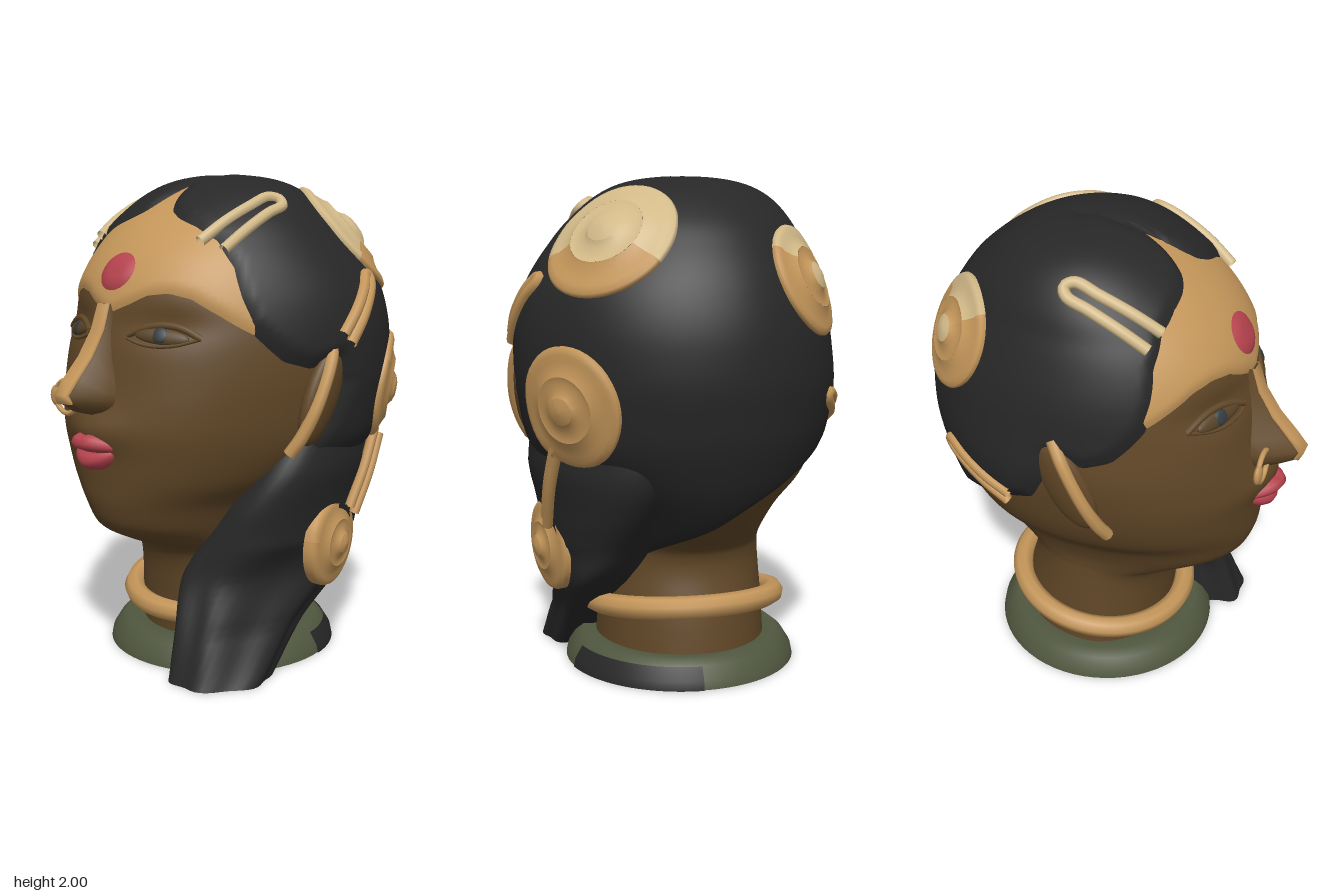
import * as THREE from 'three';

const mat = (name, color) => {
  const m = new THREE.MeshStandardMaterial({ color, side: THREE.DoubleSide });
  m.name = name;
  return m;
};
const V = (x, y, z) => new THREE.Vector3(x, y, z);
const { clamp, smoothstep } = THREE.MathUtils;

// Piecewise linear lookup in a table of [x, value]
function interp(tab, x) {
  for (let i = 1; i < tab.length; i++) {
    const [a, fa] = tab[i - 1], [b, fb] = tab[i];
    if (x <= b) return fa + (fb - fa) * clamp((x - a) / (b - a), 0, 1);
  }
  return tab[tab.length - 1][1];
}

// Head and neck levels: height, half width, front z, back z
const LEVELS = [
  [0.06, 0.36, 0.23, -0.46], [0.25, 0.35, 0.24, -0.43], [0.4, 0.34, 0.26, -0.39], [0.48, 0.335, 0.31, -0.39],
  [0.53, 0.335, 0.43, -0.42], [0.6, 0.35, 0.555, -0.5], [0.7, 0.4, 0.605, -0.585], [0.8, 0.488, 0.62, -0.65],
  [0.9, 0.54, 0.63, -0.695], [1.0, 0.57, 0.64, -0.73], [1.1, 0.59, 0.63, -0.75], [1.2, 0.605, 0.61, -0.765],
  [1.3, 0.61, 0.59, -0.765], [1.4, 0.605, 0.57, -0.755], [1.5, 0.585, 0.545, -0.73], [1.6, 0.55, 0.505, -0.69],
  [1.7, 0.505, 0.435, -0.63], [1.8, 0.445, 0.33, -0.55], [1.9, 0.34, 0.185, -0.42], [1.955, 0.21, 0.05, -0.29],
  [1.98, 0, -0.1, -0.1]];
const curveA = new THREE.CatmullRomCurve3(LEVELS.map(l => V(l[1], l[0], l[2])), false, 'catmullrom', 0.5);
const curveB = new THREE.CatmullRomCurve3(LEVELS.map(l => V(l[3], l[0], 0)), false, 'catmullrom', 0.5);
const CX = -0.04;

function head(u, t) {
  const a = curveA.getPoint(u), zb = curveB.getPoint(u).x, y = a.y;
  const zm = -0.05 - 0.05 * smoothstep(y, 1.6, 1.98);
  const s = Math.sin(t), c = Math.cos(t);
  const x = CX + Math.max(a.x, 0) * s;
  let z = zm + (c > 0 ? a.z - zm : zm - zb) * c;
  // hair bulges on the model's left and is drawn in on its right
  const bulge = t > 0
    ? 0.09 * s * smoothstep(t, 0.9, 2) * smoothstep(y, 0.75, 1) * (1 - smoothstep(y, 1.5, 1.9))
    : 0.035 * s * s * smoothstep(y, 1.1, 1.4) * (1 - smoothstep(y, 1.7, 1.95));
  if (c > 0) { // mouth mound and eye sockets
    const d = Math.abs(x - CX);
    z += 0.04 * Math.exp(-((d / 0.15) ** 2) - ((y - 1.02) / 0.08) ** 2);
    z -= 0.03 * Math.exp(-(((d - 0.25) / 0.16) ** 2) - ((y - 1.42) / 0.07) ** 2);
  }
  return V(x + bulge, y, z);
}
function normal(u, t) {
  const e = 0.002, k = clamp(u, e, 1 - e);
  const up = head(k + e, t).sub(head(k - e, t)), side = head(k, t + e).sub(head(k, t - e));
  return side.cross(up).normalize();
}

const NU = 110, NT = 144, GRID = [];
for (let i = 0; i <= NU; i++) for (let j = 0; j < NT; j++) {
  const u = i / NU, t = -Math.PI + (2 * Math.PI * j) / NT;
  GRID.push({ t, p: head(u, t), n: normal(u, t) });
}
// Nearest head point; without z, the nearest on the face
function snap(x, y, z, lift = 0) {
  let best, bd = 1e9;
  for (const g of GRID) {
    if (z === undefined && Math.abs(g.t) > 1.4) continue;
    const d = (g.p.x - x) ** 2 + (g.p.y - y) ** 2 + (z === undefined ? 0 : (g.p.z - z) ** 2);
    if (d < bd) { bd = d; best = g; }
  }
  // slide from the grid point along its tangent plane
  const v = V(x - best.p.x, y - best.p.y, z === undefined ? 0 : z - best.p.z);
  if (z === undefined && best.n.z > 0.2) v.z = -(v.x * best.n.x + v.y * best.n.y) / best.n.z;
  v.addScaledVector(best.n, -v.dot(best.n)).clampLength(0, 0.03);
  return { p: best.p.clone().add(v).addScaledVector(best.n, lift), n: best.n };
}

// Unwrapped outline of the bare skin: [angle, height]
const SIDE = [[0.1, 1.87], [0.18, 1.83], [0.32, 1.8], [0.52, 1.77], [0.73, 1.72], [0.87, 1.63], [0.92, 1.52],
  [0.99, 1.42], [1.09, 1.36], [1.2, 1.3], [1.36, 1.27], [1.55, 1.3], [1.6, 1.2]];
const SKIN = [[0, 1.93], ...SIDE, [1.5, 1.04], [1.33, 0.9], [1.15, 0.7], [1.1, 0.45], [1.9, 0.4], [2.5, 0.52],
  [3.142, 0.64], [3.8, 0.67], [3.8, -0.4], [-3.8, -0.4], [-3.8, 0.67], [-3.142, 0.64], [-2.6, 0.8], [-2.2, 0.92],
  [-1.7, 1.07], ...SIDE.map(([t, y]) => [-t, y]).reverse()].map(([t, y]) => [t * 0.6, y]);
function outside(px, py) { // signed distance, positive outside the outline
  let d = 1e9, inside = false;
  SKIN.forEach(([ax, ay], i) => {
    const [bx, by] = SKIN[(i + 1) % SKIN.length];
    const ex = bx - ax, ey = by - ay;
    const k = clamp(((px - ax) * ex + (py - ay) * ey) / (ex * ex + ey * ey), 0, 1);
    d = Math.min(d, Math.hypot(px - ax - ex * k, py - ay - ey * k));
    if ((ay > py) !== (by > py) && px < ax + (ex * (py - ay)) / ey) inside = !inside;
  });
  return inside ? -d : d;
}
const BROW = [[0, 1.46], [0.1, 1.5], [0.17, 1.535], [0.25, 1.545], [0.33, 1.525], [0.42, 1.465], [0.53, 1.38], [0.6, 1.44]];

function makeGeo(pos, idx) {
  const g = new THREE.BufferGeometry();
  g.setAttribute('position', new THREE.Float32BufferAttribute(pos, 3));
  g.setIndex(idx);
  g.computeVertexNormals();
  return g;
}
// Covering over the head where the signed distance is positive; it dives under elsewhere
function layer(base, max, sd) {
  const pos = [], val = [], idx = [];
  for (const g of GRID) {
    const s = sd(g);
    val.push(s);
    pos.push(...g.p.clone().addScaledVector(g.n, base + clamp(0.5 * s, -0.03, max)).toArray());
  }
  const tri = (...f) => { if (f.some(k => val[k] > -0.05)) idx.push(...f); };
  for (let i = 0; i < NU; i++) for (let j = 0; j < NT; j++) {
    const a = i * NT + j, b = i * NT + ((j + 1) % NT);
    tri(a, b, b + NT);
    tri(a, b + NT, a + NT);
  }
  return makeGeo(pos, idx);
}
// Surface through rows of points
function loft(rows, closed) {
  const n = rows[0].length, idx = [];
  for (let i = 0; i < rows.length - 1; i++) for (let j = 0; j < (closed ? n : n - 1); j++) {
    const a = i * n + j, b = i * n + ((j + 1) % n);
    idx.push(a, b, b + n, a, b + n, a + n);
  }
  return makeGeo(rows.flat(2), idx);
}
const tube = (pts, r, seg = 32, closed = false) =>
  new THREE.TubeGeometry(new THREE.CatmullRomCurve3(pts, closed), seg, r, 8, closed);

export function createModel() {
  const root = new THREE.Group();
  const skin = mat('brownSkin', 0x614727), gold = mat('gold', 0xc4965a), pale = mat('paleGold', 0xd2b988),
    black = mat('blackHair', 0x272728), red = mat('red', 0xb5434e), cloth = mat('greenCloth', 0x50573f),
    lid = mat('eyeBrown', 0x574227), iris = mat('irisGrey', 0x343a3e);
  const add = (name, geo, m, parent = root) => {
    const mesh = new THREE.Mesh(geo, m);
    mesh.name = name;
    parent.add(mesh);
    return mesh;
  };

  // Head layers
  add('headAndNeck', layer(0, 0, () => 0), skin);
  add('forehead', layer(0, 0.012, ({ t, p }) =>
    Math.abs(t) > 1.25 || p.y > 1.95 ? -1 : 0.8 * (p.y - interp(BROW, Math.abs(p.x - CX)))), gold);
  add('foreheadDot', layer(0.012, 0.012, ({ t, p }) =>
    Math.abs(t) > 1 ? -1 : 0.075 * (1 - Math.hypot((p.x + 0.04) / 0.087, (p.y - 1.615) / 0.07))), red);
  add('hair', layer(0.006, 0.022, ({ t, p }) => {
    const s = outside(t * 0.6, p.y);
    const part = p.z > -0.2 && p.y > 1.8 ? 0.025 * Math.exp(-(((p.x - CX) / 0.035) ** 2)) : 0;
    return s > 0.03 ? Math.min(s, 0.044) - part : s;
  }), black);

  // Gathered hair falling over the left shoulder: height, front xz, back xz, half thickness
  const TAIL = [[0, 0.21, 0.47, 0.44, 0.14, 0.145], [0.2, 0.21, 0.42, 0.42, -0.07, 0.135], [0.4, 0.19, 0.35, 0.41, -0.36, 0.18],
    [0.55, 0.3, 0.3, 0.33, -0.46, 0.235], [0.7, 0.41, 0.25, 0.27, -0.56, 0.22], [0.85, 0.49, 0.17, 0.22, -0.62, 0.215],
    [1.05, 0.52, 0.04, 0.18, -0.6, 0.18], [1.2, 0.48, 0, 0.22, -0.5, 0.11], [1.32, 0.42, -0.03, 0.25, -0.4, 0.05]];
  const cf = new THREE.CatmullRomCurve3(TAIL.map(r => V(r[1], r[0], r[2])), false, 'catmullrom', 0.5);
  const cb = new THREE.CatmullRomCurve3(TAIL.map(r => V(r[3], r[0], r[4])), false, 'catmullrom', 0.5);
  const tail = [];
  for (let i = 0; i <= 48; i++) {
    const f = cf.getPoint(i / 48), b = cb.getPoint(i / 48), y = Math.max(f.y, 0);
    const c = f.clone().add(b).multiplyScalar(0.5), h = f.sub(b).multiplyScalar(0.5);
    const n = V(h.z, 0, -h.x).normalize(), th = interp(TAIL.map(r => [r[0], r[5]]), y);
    tail.push(Array.from({ length: 48 }, (_, k) => {
      const a = (k / 48) * Math.PI * 2, w = 1 + 0.06 * (1 - smoothstep(y, 0.2, 0.7)) * Math.cos(6 * a + 3 * y);
      return c.clone().addScaledVector(h, Math.cos(a) * w).addScaledVector(n, Math.sin(a) * th * w).setY(y).toArray();
    }));
  }
  add('hairTail', loft(tail, true), black);

  // Nose: height, ridge z, ridge half width, base half width
  const NOSE = [[1.5, 0.56, 0.03, 0.045], [1.4, 0.595, 0.032, 0.055], [1.3, 0.66, 0.034, 0.08], [1.22, 0.735, 0.035, 0.11],
    [1.165, 0.782, 0.034, 0.128], [1.13, 0.765, 0.036, 0.13], [1.09, 0.7, 0.036, 0.12], [1.06, 0.6, 0.03, 0.08]];
  const nx = -0.055;
  add('nose', loft(NOSE.map(([y, z, h, b]) => [[-b, 0.5], [-b * 0.9, 0.5 + (z - 0.5) * 0.5], [-h * 1.15, 0.5 + (z - 0.5) * 0.92],
    [-h * 0.8, z], [h * 0.8, z], [h * 1.15, 0.5 + (z - 0.5) * 0.92], [b * 0.9, 0.5 + (z - 0.5) * 0.5], [b, 0.5]]
    .map(([x, q]) => [nx + x, y, q]))), skin);
  add('noseStripe', loft(NOSE.slice(0, 6).map(([y, z, h]) => [[-h, z - 0.012], [-h, z + 0.008], [h, z + 0.008], [h, z - 0.012]]
    .map(([x, q]) => [nx + x, y, q]))), gold);
  const ring = add('noseRing', new THREE.TorusGeometry(0.065, 0.011, 8, 32, 5.4), gold);
  ring.position.set(-0.18, 1.13, 0.655);
  ring.rotation.z = 0.6;
  const bead = add('noseRingBead', new THREE.SphereGeometry(0.036, 16, 12), gold);
  bead.position.set(-0.24, 1.13, 0.655);
  bead.scale.set(1, 1.2, 0.45);

  // Lips: centre height, half height, depth, middle dip
  [['upperLip', 0.972, 0.046, 0.105, 0.012], ['lowerLip', 0.896, 0.046, 0.075, 0]].forEach(([name, cy, ry, rz, dip]) => {
    const rows = [];
    for (let i = 0; i <= 24; i++) {
      const t = i / 12 - 1, k = Math.max(0.02, (1 - t * t) ** 0.65), x = CX - 0.005 + t * 0.135;
      rows.push(Array.from({ length: 12 }, (_, j) => {
        const a = (j / 12) * Math.PI * 2;
        const y = cy + (0.945 - cy) * t * t - dip * Math.exp(-((t / 0.15) ** 2)) * Math.max(0, Math.sin(a));
        return [x, y + ry * k * Math.sin(a), 0.595 + 0.02 * k - 0.025 * t * t + rz * k * Math.cos(a)];
      }));
    }
    add(name, loft(rows, true), red);
  });

  for (const s of [-1, 1]) {
    const side = s > 0 ? 'left' : 'right';
    // Eyes with lids
    const ex = CX + s * 0.24, eye = snap(ex, 1.385);
    const orient = (m, e, lift) => {
      m.position.copy(e.p).addScaledVector(e.n, lift);
      m.quaternion.setFromUnitVectors(V(0, 0, 1), e.n);
    };
    const white = add(side + 'Eye', new THREE.SphereGeometry(1, 24, 12), lid);
    orient(white, eye, 0);
    white.scale.set(0.115, 0.034, 0.018);
    const pupil = add(side + 'Iris', new THREE.SphereGeometry(1, 16, 10), iris);
    orient(pupil, eye, 0.012);
    pupil.scale.set(0.033, 0.031, 0.01);
    const lidCurve = (lift, r) => tube([-0.13, -0.07, 0, 0.07, 0.14].map(d =>
      snap(ex + s * d, 1.378 + lift * (1 - (d / 0.14) ** 2), undefined, 0.002).p), r, 24);
    add(side + 'UpperLid', lidCurve(0.046, 0.014), skin);
    add(side + 'LowerLid', lidCurve(-0.032, 0.007), skin);
    // Ears with gold rims
    const ear = add(side + 'Ear', new THREE.SphereGeometry(1, 24, 16), skin);
    ear.position.set(-0.01 + s * 0.6, 1.15, 0.015);
    ear.scale.set(0.05, 0.21, 0.105);
    ear.rotation.set(-0.38, s * 0.15, s * -0.08);
    add(side + 'EarRim', tube([[0.615, 1.36, -0.03], [0.645, 1.28, 0.02], [0.642, 1.12, 0.095], [0.605, 1.0, 0.14], [0.565, 0.93, 0.165]]
      .map(([x, y, z]) => V(-0.01 + s * x, y, z)), 0.026), gold);
  }

  // Domed medallions laid over a surface at(across, along); rim arcs are [material, start angle, length]
  const TAU = Math.PI * 2;
  const RIM = [[1, 0], [1, 0.034], [0.96, 0.044], [0.86, 0.048], [0.76, 0.042], [0.6, 0.048], [0.52, 0.056]];
  const RING = [[0.52, 0.056], [0.44, 0.05], [0.3, 0.054], [0.22, 0.068]];
  const CAP = [[0.22, 0.068], [0.12, 0.075], [0, 0.077]];
  const disc = (name, at, R, ringMat, capMat, arcs) => {
    const g = new THREE.Group();
    g.name = name;
    const part = (label, profile, [m, start, len]) => add(label, loft(profile.map(([r, h]) => Array.from({ length: 41 }, (_, k) => {
      const a = start + (len * k) / 40, q = at(r * R * Math.sin(a), r * R * Math.cos(a));
      return q.p.clone().addScaledVector(q.n, h).toArray();
    }))), m, g);
    arcs.forEach(arc => part('medallionRim', RIM, arc));
    part('medallionRing', RING, [ringMat, 0, TAU]);
    part('medallionCap', CAP, [capMat, 0, TAU]);
    root.add(g);
  };
  const tangents = n => {
    const q = new THREE.Quaternion().setFromUnitVectors(V(0, 1, 0), n);
    return [V(1, 0, 0).applyQuaternion(q), V(0, 0, 1).applyQuaternion(q)];
  };
  const onHead = (x, y, z) => {
    const { p, n } = snap(x, y, z), [tx, tz] = tangents(n);
    return (a, b) => {
      const v = p.clone().addScaledVector(tx, a).addScaledVector(tz, b);
      return snap(v.x, v.y, v.z);
    };
  };
  const onTail = (p, n) => {
    const [tx, tz] = tangents(n);
    return (a, b) => ({ n, p: p.clone().addScaledVector(tx, a).addScaledVector(tz, b).addScaledVector(n, -0.02 - (a * a + b * b) / 1.3) });
  };
  const full = [[gold, 0, TAU]];
  disc('crownMedallion', onHead(0.335, 1.745, -0.42), 0.275, pale, pale, [[gold, 1.1, 2.4], [pale, 3.5, TAU - 2.4]]);
  disc('rightMedallion', onHead(-0.38, 1.58, -0.52), 0.225, gold, pale, [[gold, 1.7, 4.6], [pale, 6.3, TAU - 4.6]]);
  disc('leftMedallion', onHead(0.55, 1.115, -0.51), 0.235, gold, gold, full);
  disc('tailMedallion', onTail(V(0.545, 0.52, -0.14), V(0.95, -0.05, -0.2).normalize()), 0.187, gold, gold, full);
  for (const o of [-0.016, 0.016])
    add('medallionChain', tube([V(0.555, 0.95 + o, -0.4 + o), V(0.566, 0.8 + o, -0.32 + o), V(0.562, 0.64 + o, -0.23 + o)], 0.021), gold);

  // U-shaped hairpins: two ends and the bend
  const pin = (name, m, a, bend, b, r) => {
    const [A, B, C] = [a, b, bend].map(p => V(...p)), half = A.clone().sub(B).multiplyScalar(0.5);
    const leg = (end, k) => [0, 0.35, 0.7, 0.94].map(f => end.clone().lerp(C.clone().addScaledVector(half, k), f));
    const pts = [...leg(A, 0.6), C, ...leg(B, -0.6).reverse()];
    add(name, tube(pts.map(p => snap(p.x, p.y, p.z, 0.028).p), r, 64), m);
  };
  pin('rightFrontPin', pale, [-0.45, 1.72, 0.28], [-0.395, 1.86, -0.06], [-0.37, 1.75, 0.295], 0.023);
  pin('leftFrontPin', pale, [0.265, 1.75, 0.36], [0.33, 1.88, -0.01], [0.355, 1.72, 0.32], 0.023);
  pin('leftEarPin', gold, [0.61, 1.38, -0.04], [0.58, 1.6, -0.27], [0.61, 1.345, -0.075], 0.025);
  pin('rightBackPin', gold, [-0.6, 1.065, -0.22], [-0.42, 1.16, -0.49], [-0.58, 1.02, -0.23], 0.022);

  // Neck ring and cloth collar
  add('neckRing', tube(Array.from({ length: 24 }, (_, i) => {
    const a = (i / 24) * TAU;
    return V(-0.05 + 0.385 * Math.sin(a), 0.25 - 0.052 * Math.cos(a), -0.085 + 0.37 * Math.cos(a));
  }), 0.046, 96, true), gold);
  const collarProfile = [[1, 0], [0.985, 0.035], [0.92, 0.085], [0.85, 0.112], [0.7, 0.1]].map(p => new THREE.Vector2(...p));
  const collar = add('collar', new THREE.LatheGeometry(collarProfile, 64), cloth);
  const patch = add('collarDarkPatch', new THREE.LatheGeometry(collarProfile.slice(0, 3), 24, 1.75, 1.3), black);
  collar.scale.set(0.485, 1, 0.49);
  patch.scale.set(0.49, 1, 0.495);
  for (const c of [collar, patch]) c.position.set(-0.035, 0, -0.08);

  return root;
}
